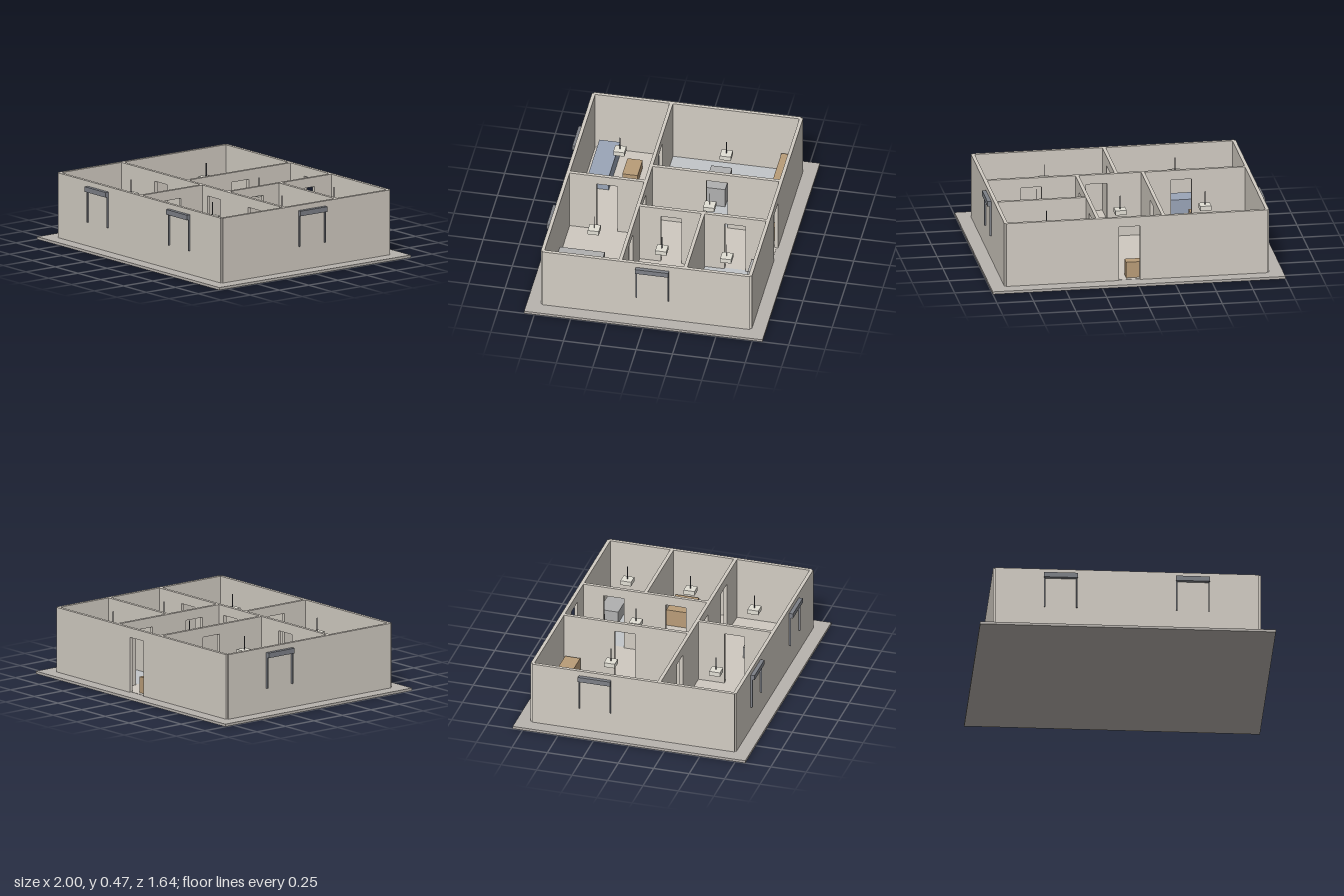
import * as THREE from 'three';

const FLOOR = 0.018, TOP = 0.466, DOOR_TOP = 0.4, DOOR_W = 0.143, T = 0.024;
// wall centre lines
const WX = 0.893, WZ = 0.714, MID_Z = 0.179, HALL_L = -0.183, HALL_R = 0.266, BATH_Z = -0.268;

const colours = {
  wall: 0xd2ccc3, slab: 0xb8b3ae, warmFloor: 0xcfc9c0, coolFloor: 0xc2c6c9, frame: 0x7d8087,
  wood: 0xb99c78, grey: 0xb0b0b0, blue: 0x9aa5b8, dark: 0x57575c, lamp: 0xe2dfd5,
};
const mats = {};
for (const key in colours) mats[key] = new THREE.MeshStandardMaterial({ color: colours[key] });

// box given by its min and max on each axis
function box(parent, name, mat, x0, x1, y0, y1, z0, z1) {
  const mesh = new THREE.Mesh(new THREE.BoxGeometry(x1 - x0, y1 - y0, z1 - z0), mats[mat]);
  mesh.position.set((x0 + x1) / 2, (y0 + y1) / 2, (z0 + z1) / 2);
  mesh.name = name;
  parent.add(mesh);
  return mesh;
}

// wall running along 'x' or 'z' from a to b, with door openings centred at the given places
function wall(parent, name, axis, at, a, b, doors = []) {
  const s = new THREE.Shape();
  s.moveTo(a, FLOOR);
  for (const d of doors) {
    s.lineTo(d - DOOR_W / 2, FLOOR);
    s.lineTo(d - DOOR_W / 2, DOOR_TOP);
    s.lineTo(d + DOOR_W / 2, DOOR_TOP);
    s.lineTo(d + DOOR_W / 2, FLOOR);
  }
  s.lineTo(b, FLOOR);
  s.lineTo(b, TOP);
  s.lineTo(a, TOP);
  s.closePath();
  const geo = new THREE.ExtrudeGeometry(s, { depth: T, bevelEnabled: false });
  geo.translate(0, 0, -T / 2);
  // turning by -90 degrees sends the shape's x to +z
  if (axis === 'z') geo.rotateY(-Math.PI / 2).translate(at, 0, 0);
  else geo.translate(0, 0, at);
  const mesh = new THREE.Mesh(geo, mats.wall);
  mesh.name = name;
  parent.add(mesh);
}

// window surround on an outer wall: head box and two side strips
function windowFrame(parent, x, z, turn) {
  const g = new THREE.Group();
  g.name = 'windowFrame';
  const h = 0.114;
  box(g, 'windowHead', 'frame', -h, h, 0.396, 0.431, 0, 0.027);
  for (const s of [-1, 1]) {
    const c = s * (h - 0.0045);
    box(g, 'windowSideStrip', 'frame', c - 0.0045, c + 0.0045, 0.182, 0.396, 0, 0.012);
  }
  g.position.set(x, 0, z);
  g.rotation.y = turn;
  parent.add(g);
}

// hanging lamp: thin rod and square shade
function lamp(parent, x, z) {
  const g = new THREE.Group();
  g.name = 'ceilingLamp';
  box(g, 'lampShade', 'lamp', -0.038, 0.038, 0.335, 0.367, -0.038, 0.038);
  box(g, 'lampRod', 'dark', -0.0025, 0.0025, 0.367, 0.46, -0.0025, 0.0025);
  g.position.set(x, 0, z);
  parent.add(g);
}

export function createModel() {
  const model = new THREE.Group();
  model.name = 'house';

  box(model, 'groundSlab', 'slab', -1, 1, 0, FLOOR, -0.82, 0.82);

  // rooms: x0, x1, z0, z1 between wall centre lines
  const rooms = [
    ['kitchen', 'coolFloor', -WX, HALL_L, -WZ, MID_Z],
    ['hall', 'warmFloor', HALL_L, HALL_R, -WZ, MID_Z],
    ['bathroom', 'coolFloor', HALL_R, WX, -WZ, BATH_Z],
    ['study', 'warmFloor', HALL_R, WX, BATH_Z, MID_Z],
    ['livingRoom', 'warmFloor', -WX, 0, MID_Z, WZ],
    ['bedroom', 'warmFloor', 0, WX, MID_Z, WZ],
  ];
  for (const [name, mat, x0, x1, z0, z1] of rooms) {
    box(model, name + 'Floor', mat, x0, x1, FLOOR - 0.002, FLOOR + 0.002, z0, z1);
    lamp(model, (x0 + x1) / 2, (z0 + z1) / 2);
  }

  // outer walls meet at their centre lines, leaving notched corners
  wall(model, 'frontWall', 'x', WZ, -WX, WX);
  wall(model, 'backWall', 'x', -WZ, -WX, WX, [0.05]);
  wall(model, 'leftWall', 'z', WX, -WZ, WZ);
  wall(model, 'rightWall', 'z', -WX, -WZ, WZ);

  // partitions
  wall(model, 'middlePartition', 'x', MID_Z, -WX, WX, [-0.445, 0.133, 0.58]);
  wall(model, 'kitchenPartition', 'z', HALL_L, -WZ, MID_Z, [-0.275]);
  wall(model, 'hallPartition', 'z', HALL_R, -WZ, MID_Z, [-0.488, -0.05]);
  wall(model, 'bathroomPartition', 'x', BATH_Z, HALL_R, WX);
  wall(model, 'frontPartition', 'z', -0.003, MID_Z, WZ, [0.445]);

  // window surrounds
  const outX = WX + T / 2, outZ = WZ + T / 2;
  windowFrame(model, -0.449, outZ, 0);
  windowFrame(model, 0.444, outZ, 0);
  windowFrame(model, outX, -0.044, Math.PI / 2);
  windowFrame(model, -outX, -0.268, -Math.PI / 2);

  // furniture: name, material, x0, x1, top, z0, z1
  const furniture = [
    ['kitchenCounter', 'wood', -0.869, -0.217, 0.165, -0.688, -0.581],
    ['kitchenIsland', 'grey', -0.645, -0.398, 0.165, -0.287, -0.143],
    ['hallConsole', 'wood', -0.147, 0.067, 0.131, -0.685, -0.613],
    ['washBasin', 'grey', 0.305, 0.444, 0.15, -0.686, -0.608],
    ['bathtub', 'grey', 0.57, 0.861, 0.105, -0.686, -0.552],
    ['desk', 'wood', 0.639, 0.861, 0.138, -0.234, -0.071],
    ['mediaUnit', 'dark', -0.789, -0.468, 0.1, 0.207, 0.266],
    ['coffeeTable', 'wood', -0.716, -0.54, 0.085, 0.343, 0.448],
    ['sofa', 'blue', -0.824, -0.43, 0.13, 0.52, 0.662],
    ['bed', 'grey', 0.356, 0.636, 0.1, 0.392, 0.7],
    ['nightstand', 'wood', 0.658, 0.749, 0.1, 0.608, 0.697],
  ];
  for (const [name, mat, x0, x1, top, z0, z1] of furniture)
    box(model, name, mat, x0, x1, FLOOR, top, z0, z1);

  return model;
}
